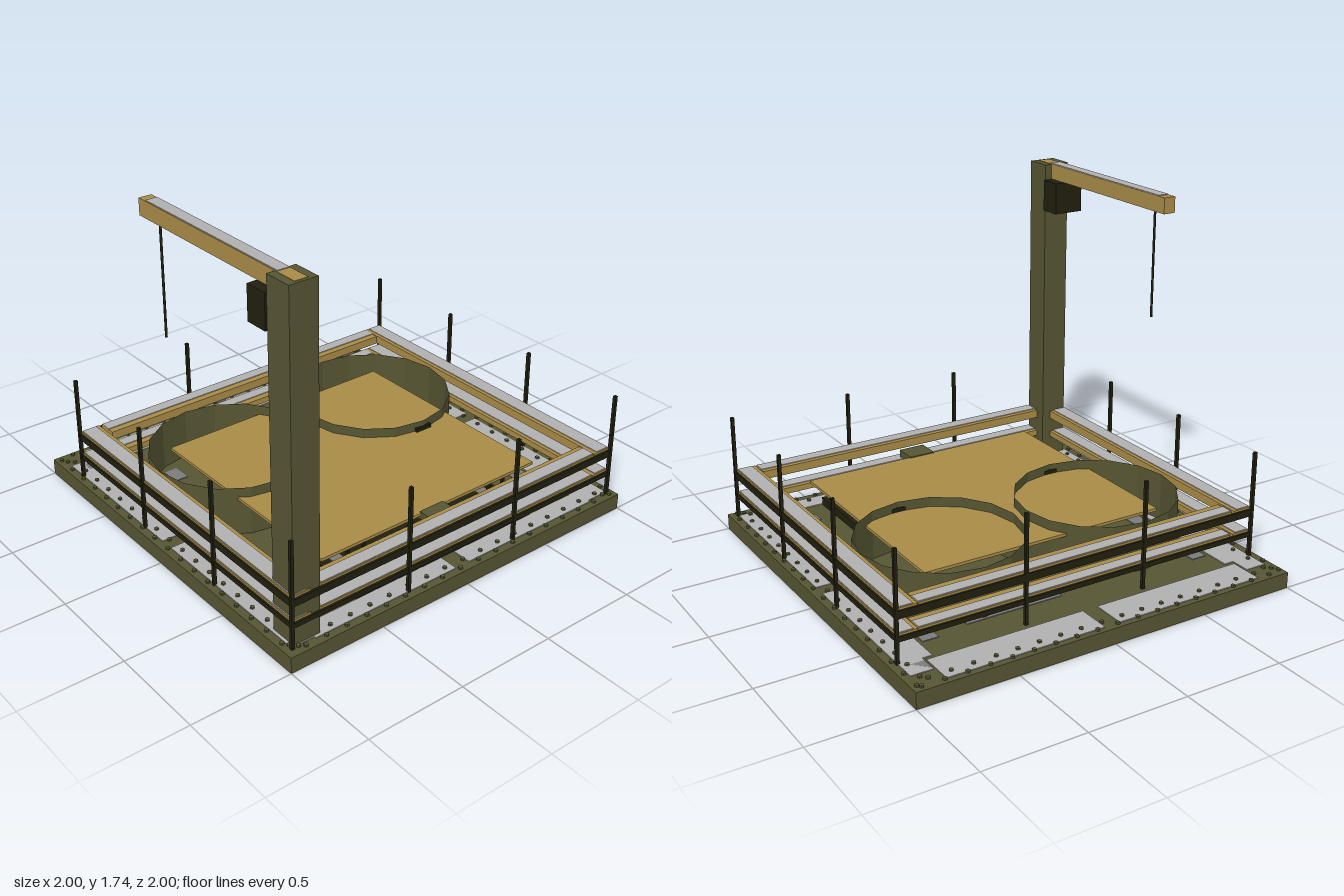
import * as THREE from 'three';

export function createModel() {
  const model = new THREE.Group();
  const mat = (name, color, extra = {}) => {
    const m = new THREE.MeshStandardMaterial({ color, ...extra });
    m.name = name;
    return m;
  };
  const olive = mat('olive', 0x565533, { side: THREE.DoubleSide, flatShading: true });
  const tan = mat('tan', 0xa88b47);
  const dark = mat('dark', 0x201f0f);
  const light = mat('lightGrey', 0xb0b0b0);
  const grey = mat('midGrey', 0x7b7b7d);

  const add = (name, geometry, material) => {
    const mesh = new THREE.Mesh(geometry, material);
    mesh.name = name;
    model.add(mesh);
    return mesh;
  };
  // Box given by its limits on each axis
  const box = (name, material, x0, x1, y0, y1, z0, z1) => {
    const m = add(name, new THREE.BoxGeometry(x1 - x0, y1 - y0, z1 - z0), material);
    m.position.set((x0 + x1) / 2, (y0 + y1) / 2, (z0 + z1) / 2);
    return m;
  };

  // Base: deck with a downward lip, hollow underneath
  box('deck', olive, -1, 1, 0.06, 0.08, -1, 1);
  for (const s of [-1, 1]) {
    box('baseLip', olive, Math.min(s, s * 0.97), Math.max(s, s * 0.97), 0, 0.06, -1, 1);
    box('baseLip', olive, -0.97, 0.97, 0, 0.06, Math.min(s, s * 0.97), Math.max(s, s * 0.97));
  }
  // Thin outline under the deck
  for (const z of [-0.64, 0.64]) box('undersideLine', tan, -0.44, 0.75, 0.057, 0.06, z - 0.004, z + 0.004);
  for (const x of [-0.44, 0.75]) box('undersideLine', tan, x - 0.004, x + 0.004, 0.057, 0.06, -0.64, 0.64);

  // Floor plates, mirrored front to back
  const plate = (m, x0, x1, z0, z1) => {
    box('floorPlate', m, x0, x1, 0.08, 0.084, z0, z1);
    box('floorPlate', m, x0, x1, 0.08, 0.084, -z1, -z0);
  };
  plate(light, -0.97, -0.80, 0.04, 0.84);
  plate(light, 0.86, 0.96, 0.04, 0.84);
  plate(light, -0.88, -0.04, 0.85, 0.96);
  plate(light, -0.78, -0.04, 0.80, 0.85);
  plate(light, 0.03, 0.95, 0.80, 0.96);
  plate(grey, -0.66, -0.04, 0.70, 0.78);
  plate(grey, 0.03, 0.70, 0.70, 0.78);
  plate(grey, 0.69, 0.76, 0.62, 0.70);
  plate(grey, -0.54, -0.44, 0.56, 0.63);
  plate(grey, -0.88, -0.80, 0.85, 0.93);
  box('floorPlate', grey, -0.63, -0.55, 0.08, 0.084, -0.54, -0.04);

  // Bolts zigzagging around the rim
  const boltGeo = new THREE.CylinderGeometry(0.011, 0.011, 0.01, 6);
  for (let i = 0; i < 36; i++) {
    const t = -0.96 + i * 0.0548;
    const e = i % 2 ? 0.93 : 0.975;
    for (const [x, z] of [[-e, t], [e, t], [t, e], [t, -e]]) {
      add('bolt', boltGeo, olive).position.set(x, 0.087, z);
    }
  }

  // Railing posts
  const postXs = [-0.765, -0.19, 0.385, 0.955];
  const postZs = [-0.96, -0.32, 0.32, 0.96];
  for (const x of postXs) for (const z of postZs) {
    if (Math.abs(z) > 0.9 || x === postXs[0] || x === postXs[3]) {
      box('railingPost', dark, x - 0.008, x + 0.008, 0.08, 0.62, z - 0.008, z + 0.008);
    }
  }
  // Railings: tan planks with grey tops and dark outer strips
  for (const [y0, y1] of [[0.295, 0.338], [0.187, 0.218]]) {
    const d0 = y0 - 0.003, d1 = y1 - 0.01;
    for (const s of [-1, 1]) {
      const lim = (a, b) => (s > 0 ? [a, b] : [-b, -a]);
      box('railPlank', tan, -0.76, 0.95, y0, y1, ...lim(0.855, 0.955));
      box('railTop', light, -0.755, 0.945, y1, y1 + 0.004, ...lim(0.875, 0.95));
      box('railStrip', dark, -0.77, 0.96, d0, d1, ...lim(0.955, 0.963));
    }
    box('railPlank', tan, -0.76, -0.66, y0, y1, -0.85, 0.84);
    box('railTop', light, -0.755, -0.695, y1, y1 + 0.004, -0.85, 0.84);
    box('railStrip', dark, -0.77, -0.76, d0, d1, -0.96, 0.96);
    box('railPlank', tan, 0.855, 0.95, y0, y1, -0.85, 0.80);
    box('railTop', light, 0.88, 0.945, y1, y1 + 0.004, -0.85, 0.80);
    box('railStrip', dark, 0.95, 0.96, d0, d1, -0.96, 0.96);
  }

  // Table platform and its side bracket
  box('platform', tan, -0.44, 0.75, 0.265, 0.28, -0.645, 0.645);
  box('bracket', olive, 0.70, 0.86, 0.245, 0.279, -0.07, 0.07);
  box('bracketTop', olive, 0.74, 0.86, 0.279, 0.285, -0.07, 0.07);

  // Two open drums rising through the platform, each with a handle
  for (const z of [-0.44, 0.44]) {
    const drum = add('drum', new THREE.CylinderGeometry(0.405, 0.405, 0.25, 16, 1, true), olive);
    drum.position.set(-0.215, 0.205, z);
    box('drumHandle', dark, 0.182, 0.197, 0.26, 0.30, z - 0.046, z + 0.046);
  }

  // Low plinth beside the drums with a grey frame around an octagonal centre
  box('plinth', dark, 0.35, 0.855, 0.08, 0.122, -0.535, 0.535);
  const frame = new THREE.Shape([
    [0.38, -0.48], [0.83, -0.48], [0.86, -0.45], [0.86, 0.45], [0.83, 0.48], [0.38, 0.48],
  ].map(([x, z]) => new THREE.Vector2(x, z)));
  frame.holes.push(new THREE.Path([
    [0.43, -0.35], [0.48, -0.42], [0.74, -0.42], [0.80, -0.35],
    [0.80, 0.35], [0.74, 0.42], [0.48, 0.42], [0.43, 0.35],
  ].map(([x, z]) => new THREE.Vector2(x, z))));
  const frameGeo = new THREE.ExtrudeGeometry(frame, { depth: 0.005, bevelEnabled: false });
  frameGeo.rotateX(-Math.PI / 2);
  add('plinthFrame', frameGeo, grey).position.y = 0.122;

  // Support trestles between plinth and platform
  for (const s of [-1, 1]) for (const x of [0.42, 0.72]) {
    for (const a of [0.385, 0.475]) {
      box('trestleLeg', dark, x - 0.008, x + 0.008, 0.12, 0.265, s * a - 0.007, s * a + 0.007);
    }
    for (const y of [0.145, 0.255]) {
      box('trestleBar', dark, x - 0.008, x + 0.008, y - 0.006, y + 0.006, s * 0.43 - 0.055, s * 0.43 + 0.055);
    }
  }

  // Crane: tower, arm, winch and cable
  box('craneTower', olive, 0.805, 0.945, 0.08, 1.73, 0.805, 0.945);
  box('craneArm', tan, -0.155, 0.93, 1.653, 1.732, 0.843, 0.907);
  box('craneArmTop', light, -0.105, 0.82, 1.732, 1.736, 0.846, 0.904);
  box('winch', dark, 0.69, 0.805, 1.49, 1.652, 0.795, 0.955);
  const cable = add('cable', new THREE.CylinderGeometry(0.006, 0.006, 0.55, 8), dark);
  cable.position.set(-0.045, 1.385, 0.875);

  return model;
}
